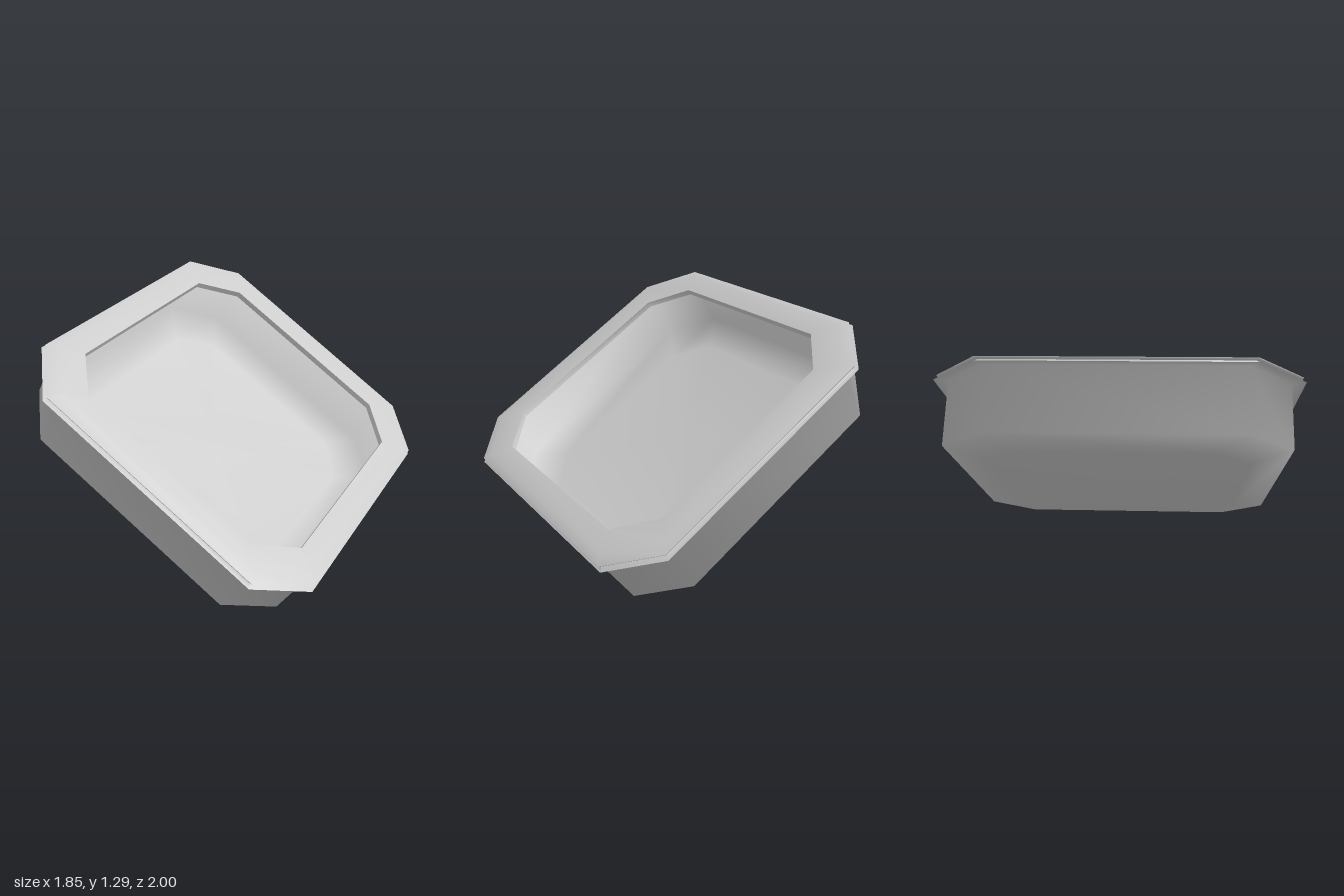
import * as THREE from 'three';
import { toCreasedNormals } from 'three/addons/utils/BufferGeometryUtils.js';

const material = new THREE.MeshStandardMaterial({ color: 0xcccccc, side: THREE.DoubleSide });
const CHAMFER = 0.27; // corner cut as a share of the half width

// Square with cut corners, half width 1
const c = 1 - CHAMFER;
const octagon = [[1, -c], [1, c], [c, 1], [-c, 1], [-1, c], [-1, -c], [-c, -1], [c, -1]];

// Sweep a profile of [half width, height] points around the octagon
function octagonLoft(name, profile, crease) {
  const positions = [], index = [];
  for (const [r, y] of profile) {
    for (const [x, z] of octagon) positions.push(x * r * (r > 0.94 ? 0.99 : 1), y, z * r);
  }
  for (let j = 0; j < profile.length - 1; j++) {
    for (let k = 0; k < 8; k++) {
      const a = j * 8 + k, b = j * 8 + (k + 1) % 8;
      index.push(a, a + 8, b + 8);
      if (profile[j][0] > 0) index.push(a, b + 8, b);
    }
  }
  const geometry = new THREE.BufferGeometry();
  geometry.setAttribute('position', new THREE.Float32BufferAttribute(positions, 3));
  geometry.setIndex(index);
  const mesh = new THREE.Mesh(toCreasedNormals(geometry, crease), material);
  mesh.name = name;
  return mesh;
}

export function createModel() {
  const tray = new THREE.Group();
  tray.name = 'tiltedTray';

  // Thin-walled pan: shallow dished floor, upright walls, flange under the rim
  tray.add(octagonLoft('pan', [[0, 0.3], [0.72, 0.3], [0.93, 0.34], [0.93, 0.705], [1, 0.7]], 1.7));

  // Rim: two thin lips with a groove between, bevelled top, inner edge and underside
  tray.add(octagonLoft('rim', [
    [1, 0.7], [0.968, 0.709], [0.968, 0.722], [0.985, 0.723], [0.988, 0.73],
    [0.93, 0.747], [0.803, 0.742], [0.803, 0.705], [0.93, 0.705],
  ], 1.3));

  // Lean the whole tray down towards +x
  tray.rotation.z = -Math.PI / 6;
  tray.position.set(-0.295, 0.17, 0);

  const model = new THREE.Group();
  model.name = 'tray';
  model.add(tray);
  return model;
}
